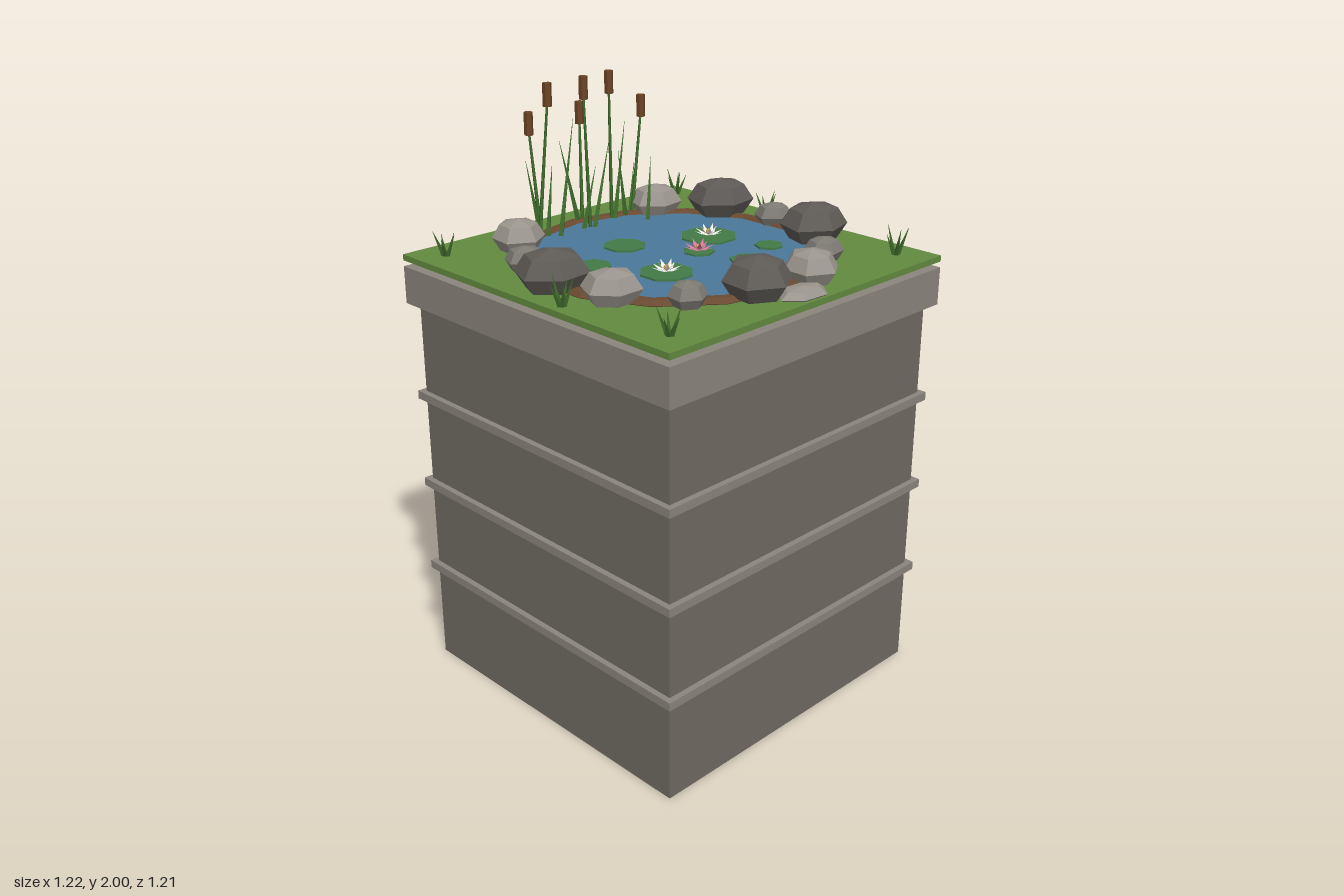
import * as THREE from 'three';

const mat = (color) => new THREE.MeshStandardMaterial({ color, flatShading: true, side: THREE.DoubleSide });
const M = {
  wall: mat(0x6f6a62), trim: mat(0x8a857c), grass: mat(0x628a3e), water: mat(0x4a7899), soil: mat(0x6b4a32),
  darkRock: mat(0x5e5a56), lightRock: mat(0x99948c), midRock: mat(0x7d7973), pad: mat(0x427a48),
  white: mat(0xf2ecec), pink: mat(0xd87a9c), yellow: mat(0xe0b040), reed: mat(0x3f6b2c), head: mat(0x6b4426),
  blade: mat(0x3c6428),
};
const GROUND = 1.485;
const UP = new THREE.Vector3(0, 1, 0);

function add(parent, name, geometry, material, x = 0, y = 0, z = 0) {
  const mesh = new THREE.Mesh(geometry, material);
  mesh.name = name;
  mesh.position.set(x, y, z);
  parent.add(mesh);
  return mesh;
}

// Tapered rod from a to b
function rod(parent, name, a, b, r0, r1, sides, material) {
  const p = new THREE.Vector3(...a), d = new THREE.Vector3(...b).sub(p);
  const geo = new THREE.CylinderGeometry(r1, r0, d.length(), sides).translate(0, d.length() / 2, 0);
  const mesh = add(parent, name, geo, material, ...a);
  mesh.quaternion.setFromUnitVectors(UP, d.normalize());
  return mesh;
}

// Faceted boulder, gently skewed so no two look alike
function rock(parent, x, z, rx, ry, rz, y, turn, material) {
  const geo = new THREE.SphereGeometry(1, 6, 4);
  const p = geo.attributes.position;
  for (let i = 0; i < p.count; i++) {
    const a = Math.atan2(p.getZ(i), p.getX(i));
    const k = 1 + 0.06 * Math.sin(2 * a + turn * 5);
    p.setXYZ(i, p.getX(i) * k, p.getY(i), p.getZ(i) * k);
  }
  geo.rotateY(turn).scale(rx, ry, rz);
  geo.computeVertexNormals();
  add(parent, 'rock', geo, material, x, y, z);
}

// Star-shaped bloom with two rings of pointed petals
function flower(parent, x, z, r, material) {
  const bloom = new THREE.Group();
  bloom.name = 'waterLily';
  bloom.position.set(x, 1.5, z);
  for (const [count, reach, rise] of [[8, r, 0.016], [5, r * 0.6, 0.034]]) {
    for (let i = 0; i < count; i++) {
      const a = (i / count) * Math.PI * 2 + 0.25;
      const petal = new THREE.BufferGeometry();
      const w = r * 0.17, m = reach * 0.5;
      petal.setAttribute('position', new THREE.Float32BufferAttribute(
        [0, 0, 0, m, rise * 0.35, w, reach, rise, 0, 0, 0, 0, reach, rise, 0, m, rise * 0.35, -w], 3));
      petal.computeVertexNormals();
      add(bloom, 'petal', petal, material).rotation.y = a;
    }
  }
  add(bloom, 'flowerCentre', new THREE.SphereGeometry(r * 0.2, 6, 4), M.yellow, 0, 0.012, 0);
  parent.add(bloom);
}

export function createModel() {
  const model = new THREE.Group();
  model.name = 'pondPedestal';

  // Pedestal
  add(model, 'pedestalBody', new THREE.BoxGeometry(1.15, 1.32, 1.15), M.wall, 0, 0.66, 0);
  for (const y of [0.355, 0.677, 0.999]) {
    add(model, 'pedestalBand', new THREE.BoxGeometry(1.19, 0.028, 1.19), M.trim, 0, y, 0);
  }
  add(model, 'pedestalCap', new THREE.BoxGeometry(1.212, 0.125, 1.212), M.trim, 0, 1.383, 0);
  add(model, 'lawn', new THREE.BoxGeometry(1.212, 0.02, 1.212), M.grass, 0, 1.475, 0);

  // Pond and its earth rim
  const pond = new THREE.Group();
  pond.name = 'pond';
  model.add(pond);
  add(pond, 'water', new THREE.CylinderGeometry(0.465, 0.465, 0.008, 14), M.water, 0, 1.489, 0);
  const rim = new THREE.TorusGeometry(0.475, 0.025, 6, 14)
    .rotateZ(Math.PI / 2).rotateX(-Math.PI / 2).scale(1, 0.7, 1);
  add(pond, 'earthRim', rim, M.soil, 0, 1.487, 0);

  // Lily pads: x, z, radius
  const pads = [[0.205, -0.035, 0.095], [-0.16, 0.14, 0.086], [-0.065, -0.15, 0.07], [-0.275, -0.065, 0.057],
    [0.062, 0.06, 0.051], [0.11, 0.235, 0.064], [0.27, 0.173, 0.047]];
  pads.forEach(([x, z, r], i) => {
    const pad = add(pond, 'lilyPad', new THREE.CylinderGeometry(r, r, 0.006, i < 3 ? 8 : 7), M.pad, x, 1.497, z);
    pad.rotation.y = i < 3 ? 0.39 : 0.2 * i;
  });
  flower(pond, 0.205, -0.035, 0.048, M.white);
  flower(pond, -0.16, 0.14, 0.048, M.white);
  flower(pond, 0.062, 0.06, 0.05, M.pink);

  // Boulders around the edge: x, z, turn
  const rocks = new THREE.Group();
  rocks.name = 'rocks';
  model.add(rocks);
  const dark = [[0.45, -0.215, 0.2], [0.445, 0.21, 0.3], [-0.11, 0.465, 0.5], [-0.49, -0.005, 0.15]];
  const light = [[-0.31, -0.385, 0.5], [0.3, -0.385, 0.2], [0.115, 0.48, 0.55], [-0.44, 0.2, 0.1]];
  const small = [[0.485, 0, 0.1], [0.3, 0.375, 0.2], [-0.31, 0.38, 0.45], [-0.43, -0.205, 0.15]];
  for (const [x, z, t] of dark) rock(rocks, x, z, 0.117, 0.072, 0.112, 1.543, t, M.darkRock);
  for (const [x, z, t] of light) rock(rocks, x, z, 0.092, 0.06, 0.09, 1.53, t, M.lightRock);
  for (const [x, z, t] of small) rock(rocks, x, z, 0.065, 0.045, 0.063, 1.52, t, M.midRock);
  rock(rocks, 0, 0.547, 0.094, 0.026, 0.06, 1.49, 0, M.lightRock);

  // Bulrushes along the back: base x, base z, top x, top z, top height
  const reeds = new THREE.Group();
  reeds.name = 'bulrushes';
  model.add(reeds);
  const stalks = [[-0.195, -0.42, -0.168, -0.39, 2], [0.01, -0.4, -0.012, -0.395, 2], [0.135, -0.43, 0.113, -0.41, 2],
    [-0.155, -0.46, -0.175, -0.48, 1.895], [0.04, -0.475, 0.055, -0.495, 1.895], [0.225, -0.425, 0.28, -0.435, 1.895]];
  for (const [bx, bz, x, z, top] of stalks) {
    rod(reeds, 'stalk', [bx, GROUND, bz], [x, top - 0.06, z], 0.007, 0.004, 5, M.reed);
    add(reeds, 'seedHead', new THREE.CylinderGeometry(0.015, 0.015, 0.075, 6), M.head, x, top - 0.0375, z);
  }
  // Long leaves: base x, base z, tip x, tip z, tip height
  const leaves = [[-0.18, -0.43, -0.225, -0.44, 1.75], [-0.16, -0.42, -0.12, -0.435, 1.72], [-0.13, -0.39, -0.05, -0.405, 1.87],
    [0.02, -0.47, -0.045, -0.485, 1.78], [-0.02, -0.4, 0.03, -0.39, 1.7], [0.02, -0.39, 0.1, -0.4, 1.77],
    [0.14, -0.42, 0.2, -0.43, 1.82], [0.19, -0.42, 0.15, -0.41, 1.73], [0.21, -0.33, 0.245, -0.35, 1.7],
    [0.23, -0.44, 0.26, -0.45, 1.66]];
  for (const [bx, bz, x, z, top] of leaves) {
    rod(reeds, 'longLeaf', [bx, GROUND, bz], [x, top, z], 0.011, 0.0005, 4, M.reed);
  }

  // Grass tufts: x, z
  const tufts = [[-0.515, -0.5], [0.53, -0.515], [0.56, -0.1], [-0.565, 0.125], [-0.51, 0.51], [0.515, 0.495]];
  tufts.forEach(([x, z], n) => {
    const tuft = new THREE.Group();
    tuft.name = 'grassTuft';
    tuft.position.set(x, GROUND, z);
    for (let i = 0; i < 5; i++) {
      const a = i * 1.257 + n * 0.7;
      const c = Math.cos(a), s = Math.sin(a), h = 0.06 + 0.01 * ((i * 2 + n) % 4);
      rod(tuft, 'grassBlade', [c * 0.007, 0, s * 0.007], [c * 0.037, h, s * 0.037], 0.009, 0.0005, 4, M.blade);
    }
    model.add(tuft);
  });

  return model;
}
